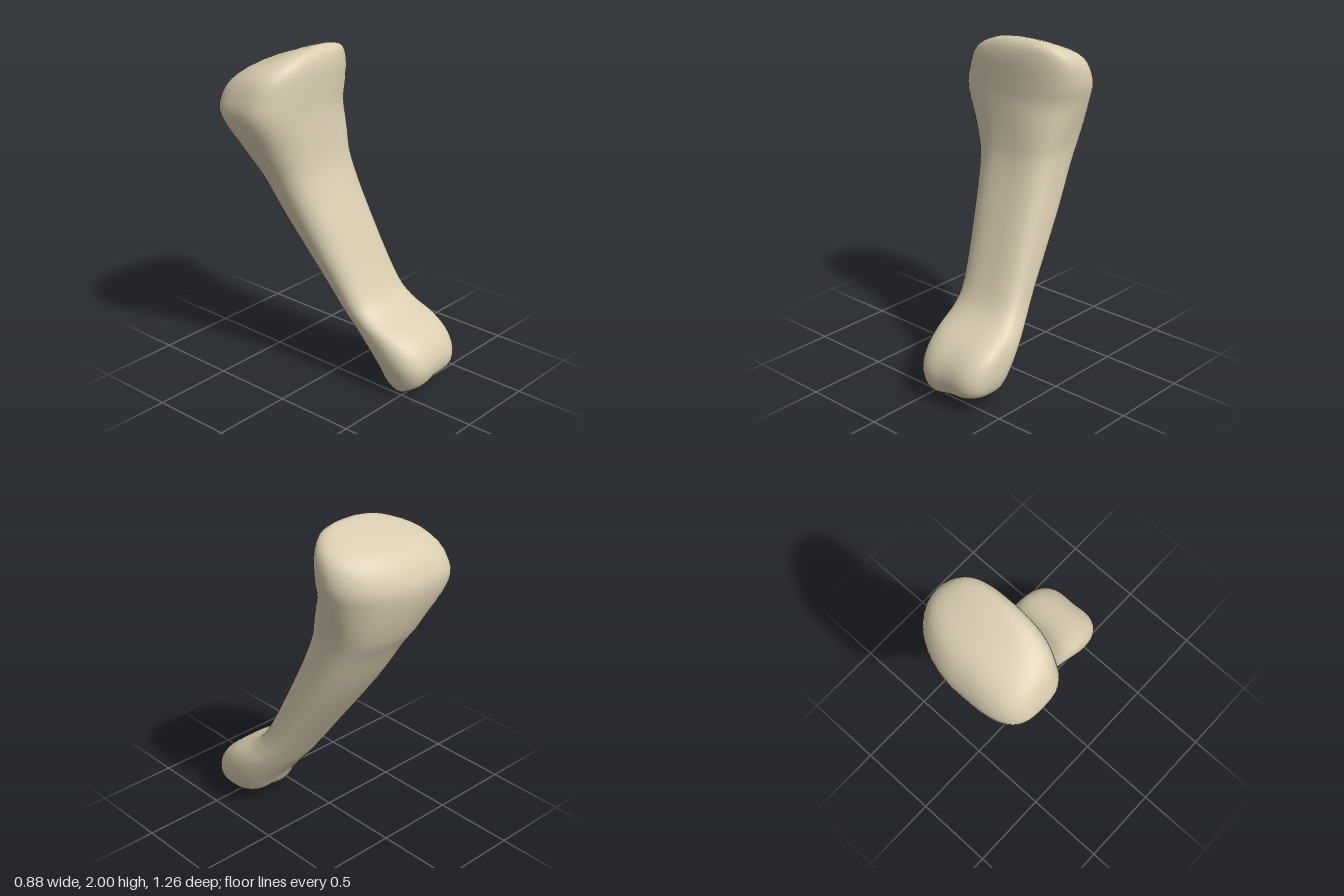
import * as THREE from 'three';

const { lerp, smoothstep } = THREE.MathUtils;

// Key cross-sections from the lower to the upper head: y, xMin, xMax, zBack, zFront
const SECTIONS = [
  [0.028, 0.02, 0.33, 0.36, 0.52],
  [0.09, -0.03, 0.40, 0.29, 0.615],
  [0.18, -0.065, 0.43, 0.23, 0.64],
  [0.28, -0.08, 0.435, 0.155, 0.60],
  [0.37, -0.085, 0.42, 0.09, 0.50],
  [0.46, -0.09, 0.385, 0.03, 0.335],
  [0.60, -0.11, 0.355, -0.065, 0.22],
  [1.00, -0.205, 0.32, -0.335, 0.04],
  [1.25, -0.27, 0.305, -0.475, -0.06],
  [1.40, -0.34, 0.31, -0.56, -0.095],
  [1.62, -0.44, 0.355, -0.63, -0.12],
  [1.75, -0.43, 0.38, -0.62, -0.125],
  [1.88, -0.36, 0.36, -0.53, -0.13],
  [1.96, -0.20, 0.28, -0.35, -0.15],
  [1.995, -0.04, 0.17, -0.24, -0.185],
];
const SIDES = 48;
const STEPS = 4;

// Squareness of each corner of the ring, by height
function squareness(y, left, front) {
  const head = smoothstep(y, 1.4, 1.65);
  const crown = smoothstep(y, 1.78, 1.93);
  if (front) return left ? lerp(3.2, 2.3, head) : lerp(2.5, 2.8, head);
  return left ? lerp(2.3, 2, head) : lerp(lerp(2.3, 3.2, head), 1.8, crown);
}

// Rounded-square ring; the shape details follow from the height
function ring([y, x0, x1, z0, z1]) {
  const foot = 1 - smoothstep(y, 0.15, 0.42);
  const tilt = 0.028 * (1 - smoothstep(y, 0.03, 0.18));
  const points = [];
  for (let i = 0; i < SIDES; i++) {
    const a = (i / SIDES) * Math.PI * 2;
    const c = Math.cos(a), s = Math.sin(a);
    const power = 2 / squareness(y, c > 0, s > 0);
    const u = Math.sign(c) * Math.abs(c) ** power;
    const v = Math.sign(s) * Math.abs(s) ** power;
    // Shallow groove between the two knuckles of the lower head
    const groove = 0.02 * foot * v * Math.exp(-6 * u * u);
    points.push(
      lerp(x0, x1, (u + 1) / 2),
      y + tilt * u,
      lerp(z0, z1, (v + 1) / 2) - 0.015 * foot * u - groove
    );
  }
  return points;
}

// Smooth loft through the key sections, closed at both ends
function loft(sections) {
  const spline = new THREE.CubicInterpolant(sections.map((_, i) => i), sections.flat(), 5);
  const last = (sections.length - 1) * STEPS;
  const positions = [];
  const index = [];
  for (let r = 0; r <= last; r++) positions.push(...ring(spline.evaluate(r / STEPS)));
  for (let r = 0; r < last; r++) {
    for (let i = 0; i < SIDES; i++) {
      const a = r * SIDES + i, b = r * SIDES + (i + 1) % SIDES;
      index.push(a, a + SIDES, b, b, a + SIDES, b + SIDES);
    }
  }
  // End caps: hollow below, domed above
  const bottom = positions.length / 3;
  const top = last * SIDES;
  for (const [section, dy] of [[sections[0], 0.015], [sections[sections.length - 1], 0.005]]) {
    const [y, x0, x1, z0, z1] = section;
    positions.push((x0 + x1) / 2, y + dy, (z0 + z1) / 2);
  }
  for (let i = 0; i < SIDES; i++) {
    const j = (i + 1) % SIDES;
    index.push(bottom, i, j, bottom + 1, top + j, top + i);
  }
  const geometry = new THREE.BufferGeometry();
  geometry.setAttribute('position', new THREE.Float32BufferAttribute(positions, 3));
  geometry.setIndex(index);
  geometry.computeVertexNormals();
  return geometry;
}

export function createModel() {
  const group = new THREE.Group();
  group.name = 'bone';
  const ivory = new THREE.MeshStandardMaterial({ color: 0xd9cdb0 });
  ivory.name = 'ivory';

  // Shaft with flared upper head and grooved lower head in one skin
  const bone = new THREE.Mesh(loft(SECTIONS), ivory);
  bone.name = 'boneShaftAndHeads';
  group.add(bone);
  return group;
}
